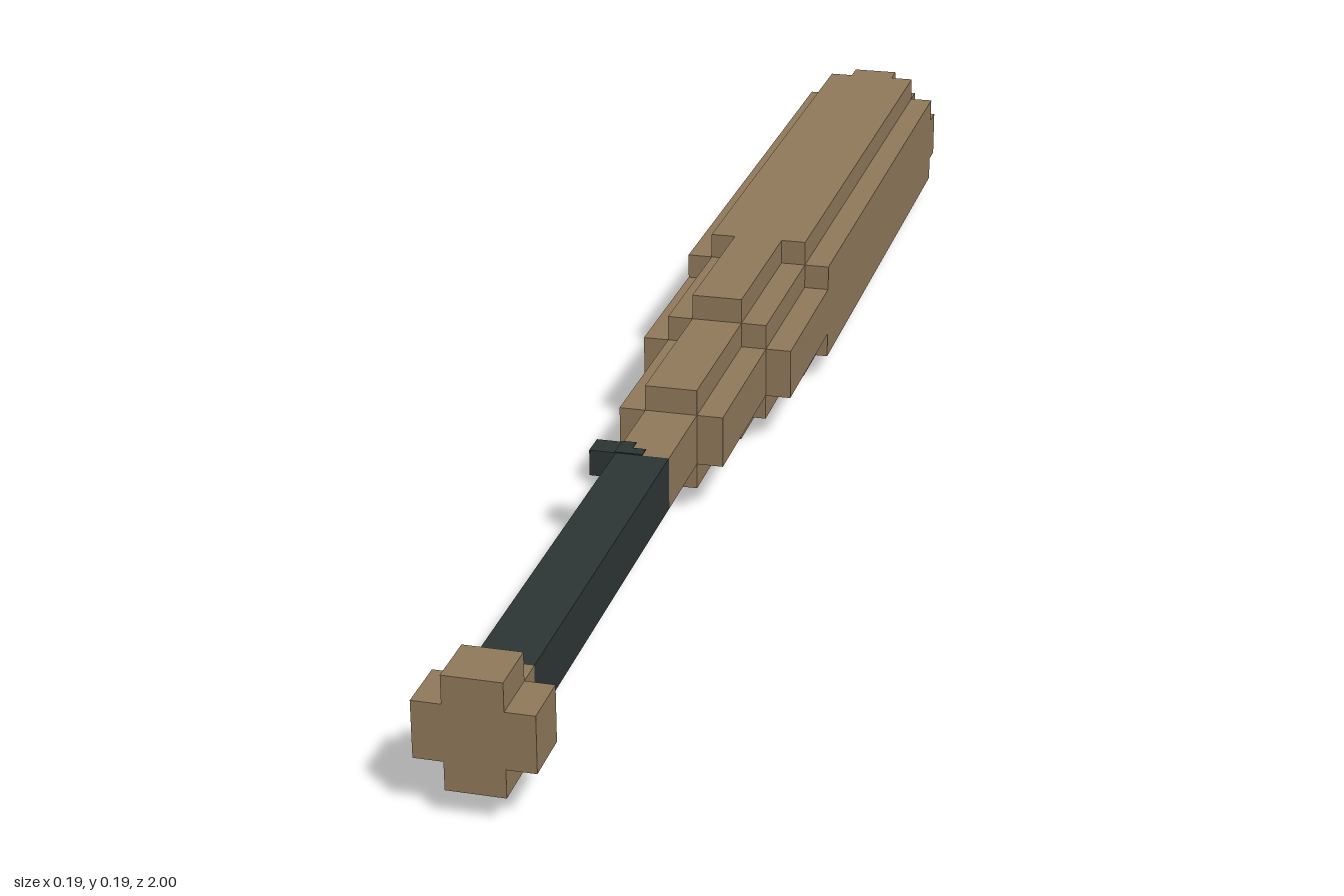
import * as THREE from 'three';

const U = 2 / 62; // one block

const material = (name, hex) => {
  const m = new THREE.MeshStandardMaterial({ color: hex });
  m.name = name;
  return m;
};

// Stepped outline, symmetric in x and y, from [halfWidth, halfHeight] pairs, widest first
function steppedShape(steps) {
  const quarter = [];
  steps.forEach(([w, h], i) => {
    if (i > 0) quarter.push([w, steps[i - 1][1]]);
    quarter.push([w, h]);
  });
  const half = [...quarter, ...quarter.map(([x, y]) => [-x, y]).reverse()];
  const all = [...half, ...half.map(([x, y]) => [-x, -y])];
  return new THREE.Shape(all.map(([x, y]) => new THREE.Vector2(x * U, y * U)));
}

export function createModel() {
  const wood = material('wood', 0x917a5b);
  const wrap = material('dark wrap', 0x2d3635);
  const stain = material('dark stain', 0x6a6058);
  const scuff = material('pale scuff', 0xb0a698);

  const model = new THREE.Group();
  model.name = 'bat';
  const body = new THREE.Group();
  body.name = 'body';
  body.position.y = 3 * U; // axis height
  model.add(body);

  const add = (name, geometry, mat) => {
    const mesh = new THREE.Mesh(geometry, mat);
    mesh.name = name;
    body.add(mesh);
    return mesh;
  };

  // Cross-sections
  const square = [[1, 1]];
  const cross = [[2, 1], [1, 2]];
  const stepped = [[3, 1], [2, 2], [1, 3]];
  const full = [[3, 2], [2, 3]];

  // Lengthwise sections: name, cross-section, from z, to z
  const sections = [
    ['barrelTip', stepped, -31, -30, wood],
    ['barrel', full, -30, -6, wood],
    ['barrelShoulder', stepped, -6, 1, wood],
    ['taper', cross, 1, 8, wood],
    ['neck', square, 8, 12, wood],
    ['grip', square, 12, 28, wrap],
    ['handleEnd', square, 28, 29, wood],
    ['knob', cross, 29, 31, wood],
  ];
  for (const [name, steps, z0, z1, mat] of sections) {
    const geometry = new THREE.ExtrudeGeometry(steppedShape(steps), { depth: (z1 - z0) * U, bevelEnabled: false });
    add(name, geometry, mat).position.z = z0 * U;
  }

  // Box between two corners, in blocks
  const block = (name, [x0, y0, z0], [x1, y1, z1], mat) => {
    const geometry = new THREE.BoxGeometry((x1 - x0) * U, (y1 - y0) * U, (z1 - z0) * U);
    add(name, geometry, mat).position.set((x0 + x1) * U / 2, (y0 + y1) * U / 2, (z0 + z1) * U / 2);
  };

  // Loose end of the wrap, with its stepped edge on the neck
  block('wrapLooseEnd', [-2, 0, 11], [-1, 1, 12], wrap);
  block('wrapEdgeOuter', [-1, 1, 11], [-0.5, 1.04, 12], wrap);
  block('wrapEdgeInner', [-0.5, 1, 11.5], [0, 1.04, 12], wrap);
  block('wrapEdgeSide', [-1.04, 0, 11], [-1, 1.04, 12], wrap);

  // Worn patch on the right side of the barrel
  const patch = (name, z0, z1, y0, y1, mat) => block(name, [-3.04, y0, z0], [-3, y1, z1], mat);
  patch('stainUpper', -19.5, -14, 0.5, 1.5, stain);
  patch('stainFront', -17.5, -13.5, -0.7, 0.5, stain);
  patch('stainLower', -22, -16.5, -1.7, -0.7, stain);
  patch('stainBack', -22, -20.5, -0.7, 0, stain);
  patch('scuff', -20.5, -17.5, -0.7, 0.2, scuff);

  return model;
}
